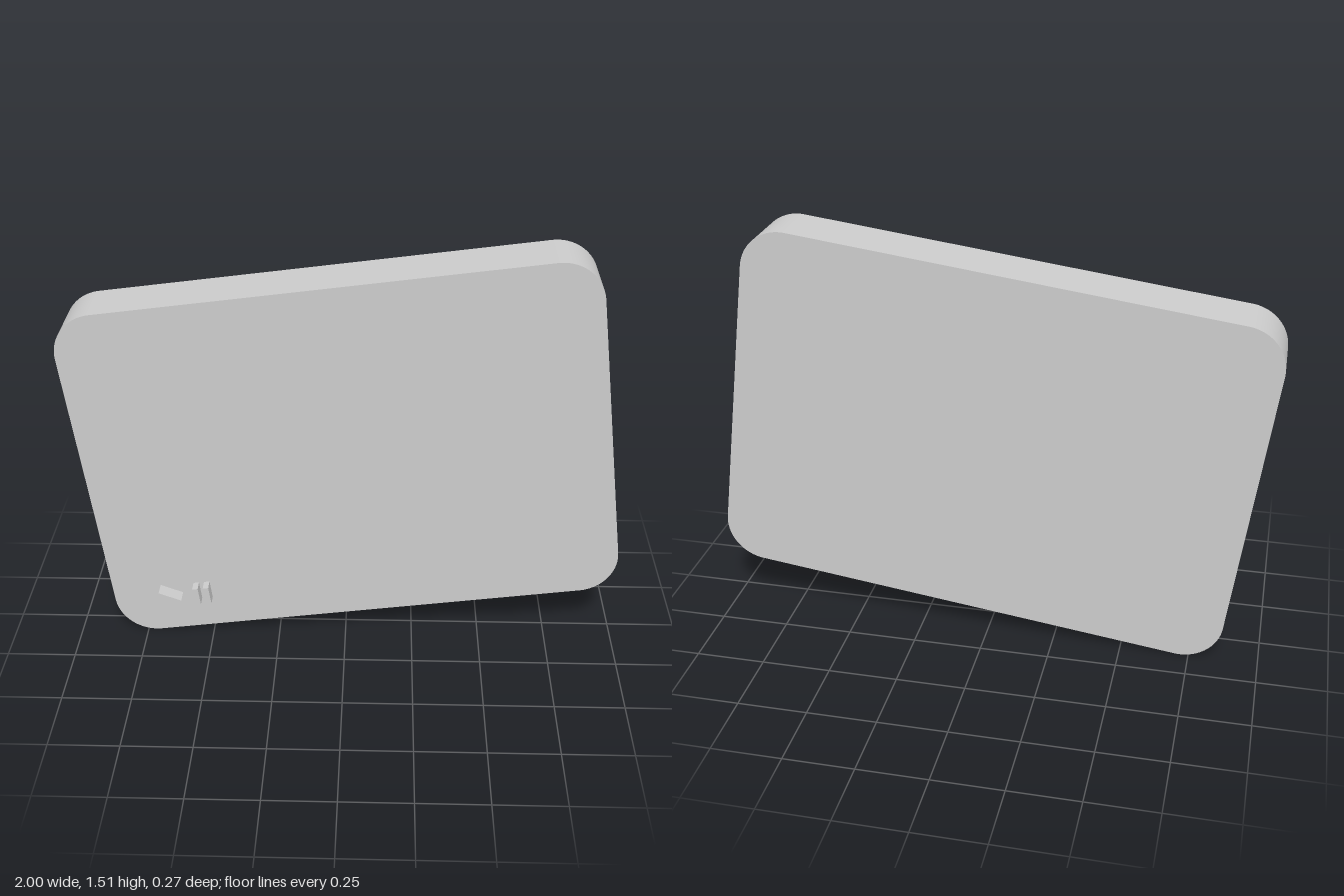
import * as THREE from 'three';

const material = new THREE.MeshStandardMaterial({ color: 0xcccccc });
const FRONT = 0.078, BACK = -0.133;

// Extrude a flat outline between two depths
function extrude(name, shape, z0, z1) {
  const geometry = new THREE.ExtrudeGeometry(shape, {
    depth: z1 - z0, bevelEnabled: false, curveSegments: 20,
  });
  geometry.translate(0, 0, z0);
  const mesh = new THREE.Mesh(geometry, material);
  mesh.name = name;
  return mesh;
}

function roundedRect(w, h, r) {
  const x = w / 2 - r, y = h / 2 - r, q = Math.PI / 2;
  const s = new THREE.Shape();
  s.absarc(x, y, r, 0, q);
  s.absarc(-x, y, r, q, 2 * q);
  s.absarc(-x, -y, r, 2 * q, 3 * q);
  s.absarc(x, -y, r, 3 * q, 4 * q);
  s.closePath();
  return s;
}

// Smooth the rounded rim: side normals follow the outline's corner arcs
function smoothRim(mesh, w, h, r) {
  const { position: p, normal: n } = mesh.geometry.attributes;
  const v = new THREE.Vector3();
  for (let i = 0; i < p.count; i++) {
    if (Math.abs(n.getZ(i)) > 0.5) continue;
    const x = p.getX(i), y = p.getY(i);
    v.set(Math.sign(x) * Math.max(0, Math.abs(x) - w / 2 + r),
      Math.sign(y) * Math.max(0, Math.abs(y) - h / 2 + r), 0).normalize();
    n.setXYZ(i, v.x, v.y, 0);
  }
}

export function createModel() {
  const model = new THREE.Group();
  model.name = 'tiltedPanel';

  // Everything shares the panel's tilt
  const tilted = new THREE.Group();
  tilted.name = 'panelAssembly';
  tilted.position.y = 0.755;
  tilted.rotation.z = THREE.MathUtils.degToRad(7.48);
  model.add(tilted);

  // Thick slab with rounded corners
  const w = 1.882, h = 1.31, r = 0.15;
  const slab = extrude('slab', roundedRect(w, h, r), BACK, FRONT);
  smoothRim(slab, w, h, r);
  tilted.add(slab);

  // Raised triangular play button
  const triangle = new THREE.Shape([
    new THREE.Vector2(-0.759, -0.457),
    new THREE.Vector2(-0.759, -0.538),
    new THREE.Vector2(-0.681, -0.499),
  ]);
  tilted.add(extrude('playButton', triangle, FRONT, 0.133));

  // Pair of raised pause bars
  for (const [name, x] of [['pauseBarRight', -0.624], ['pauseBarLeft', -0.584]]) {
    const bar = new THREE.Mesh(new THREE.BoxGeometry(0.021, 0.07, 0.122 - FRONT), material);
    bar.name = name;
    bar.position.set(x, -0.497, (FRONT + 0.122) / 2);
    tilted.add(bar);
  }

  return model;
}
